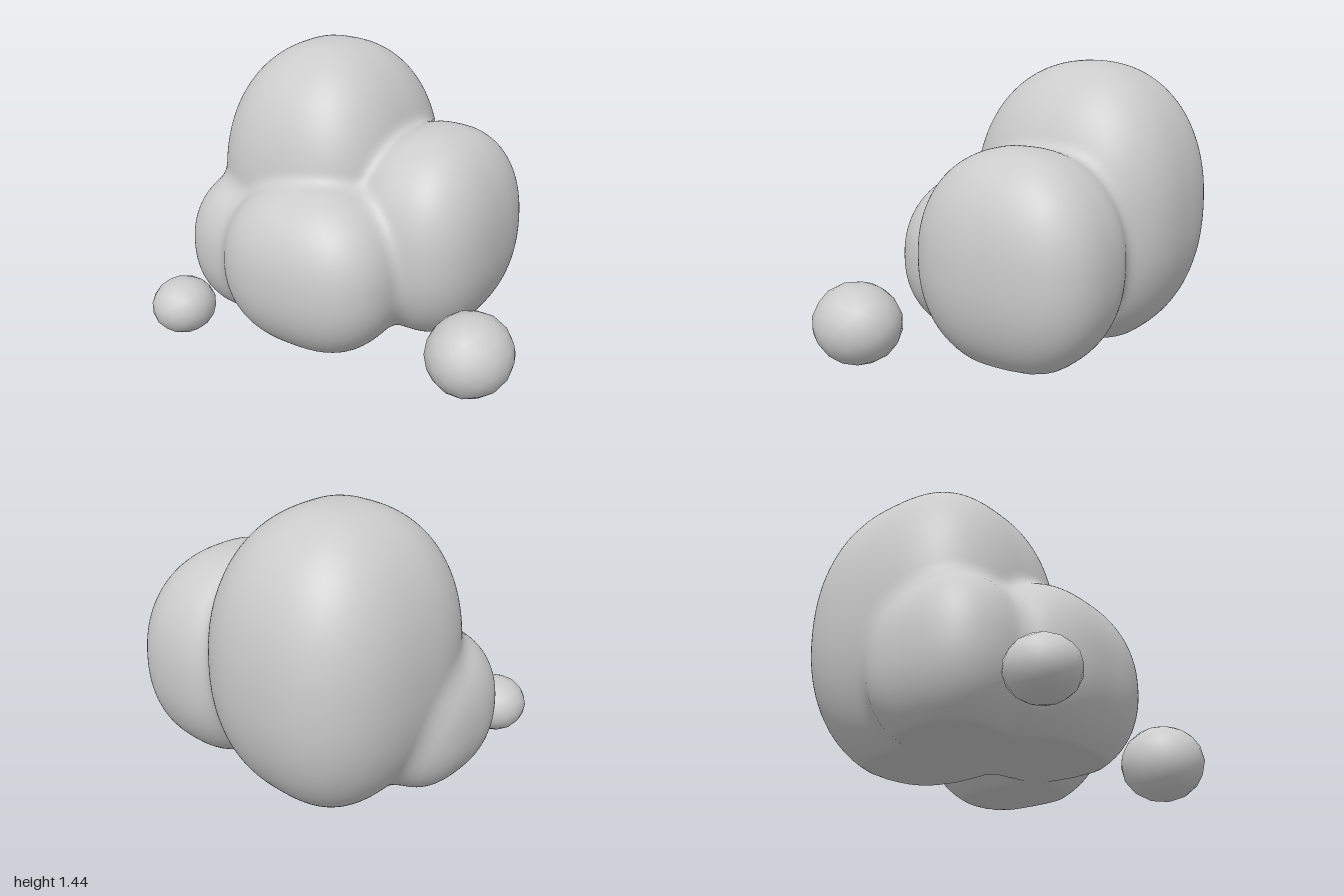
import * as THREE from 'three';
import { mergeVertices, toCreasedNormals } from 'three/addons/utils/BufferGeometryUtils.js';

// Rounded boulders: centre and radii
const LOBES = [
  { c: [-0.41, 0.68, -0.25], r: [0.53, 0.76, 0.59] }, // tall
  { c: [0.25, 0.5, -0.245], r: [0.39, 0.565, 0.515] }, // left side
  { c: [-0.18, 0.38, 0.22], r: [0.5, 0.47, 0.43] }, // front
  { c: [-0.65, 0.35, 0.1], r: [0.35, 0.42, 0.38] }, // right side
];
const CORE = new THREE.Vector3(-0.2, 0.4, -0.08);
const BLEND = 0.05;

// Approximate distance to a boulder that is squarish in plan, rounder in height
function lobeDistance(p, { c, r }) {
  const [x, y, z] = [p.x - c[0], p.y - c[1], p.z - c[2]].map((d, i) => Math.abs(d) / r[i]);
  const plan = Math.pow(x ** 2.65 + z ** 2.65, 1 / 2.65);
  return (Math.pow(plan ** 2.2 + y ** 2.2, 1 / 2.2) - 1) * Math.min(...r);
}

// Union of the boulders with softened creases
function field(p) {
  return LOBES.map((lobe) => lobeDistance(p, lobe)).reduce((a, b) => {
    const h = Math.max(BLEND - Math.abs(a - b), 0) / BLEND;
    return Math.min(a, b) - h * h * BLEND * 0.25;
  });
}

// Outermost point of the union along a direction from the core
function surfacePoint(dir) {
  const p = new THREE.Vector3();
  const at = (t) => field(p.copy(CORE).addScaledVector(dir, t));
  let t = 1.4;
  while (t > 0.05 && at(t) > 0) t -= 0.02;
  let lo = t, hi = t + 0.02;
  for (let i = 0; i < 10; i++) {
    const mid = (lo + hi) / 2;
    if (at(mid) > 0) hi = mid; else lo = mid;
  }
  p.copy(CORE).addScaledVector(dir, lo);
  p.y = Math.max(p.y, 0); // flat base
  return p;
}

function boulderGeometry() {
  const ball = new THREE.IcosahedronGeometry(1, 38);
  ball.deleteAttribute('normal');
  ball.deleteAttribute('uv');
  const geo = mergeVertices(ball);
  const pos = geo.attributes.position;
  const dir = new THREE.Vector3();
  for (let i = 0; i < pos.count; i++) {
    const p = surfacePoint(dir.fromBufferAttribute(pos, i).normalize());
    pos.setXYZ(i, p.x, p.y, p.z);
  }
  return toCreasedNormals(geo, 0.7);
}

export function createModel() {
  const group = new THREE.Group();
  const stone = new THREE.MeshStandardMaterial({ color: 0xcccccc });

  const add = (name, geometry) => {
    const mesh = new THREE.Mesh(geometry, stone);
    mesh.name = name;
    group.add(mesh);
    return mesh;
  };

  add('boulderCluster', boulderGeometry());

  // Loose pebbles in front
  const pebble = (name, centre, radii) =>
    add(name, new THREE.IcosahedronGeometry(1, 2).scale(...radii)).position.set(...centre);
  pebble('leftPebble', [0.78, 0.205, 0.36], [0.215, 0.205, 0.23]);
  pebble('rightPebble', [-0.76, 0.148, 0.67], [0.166, 0.148, 0.17]);

  return group;
}
